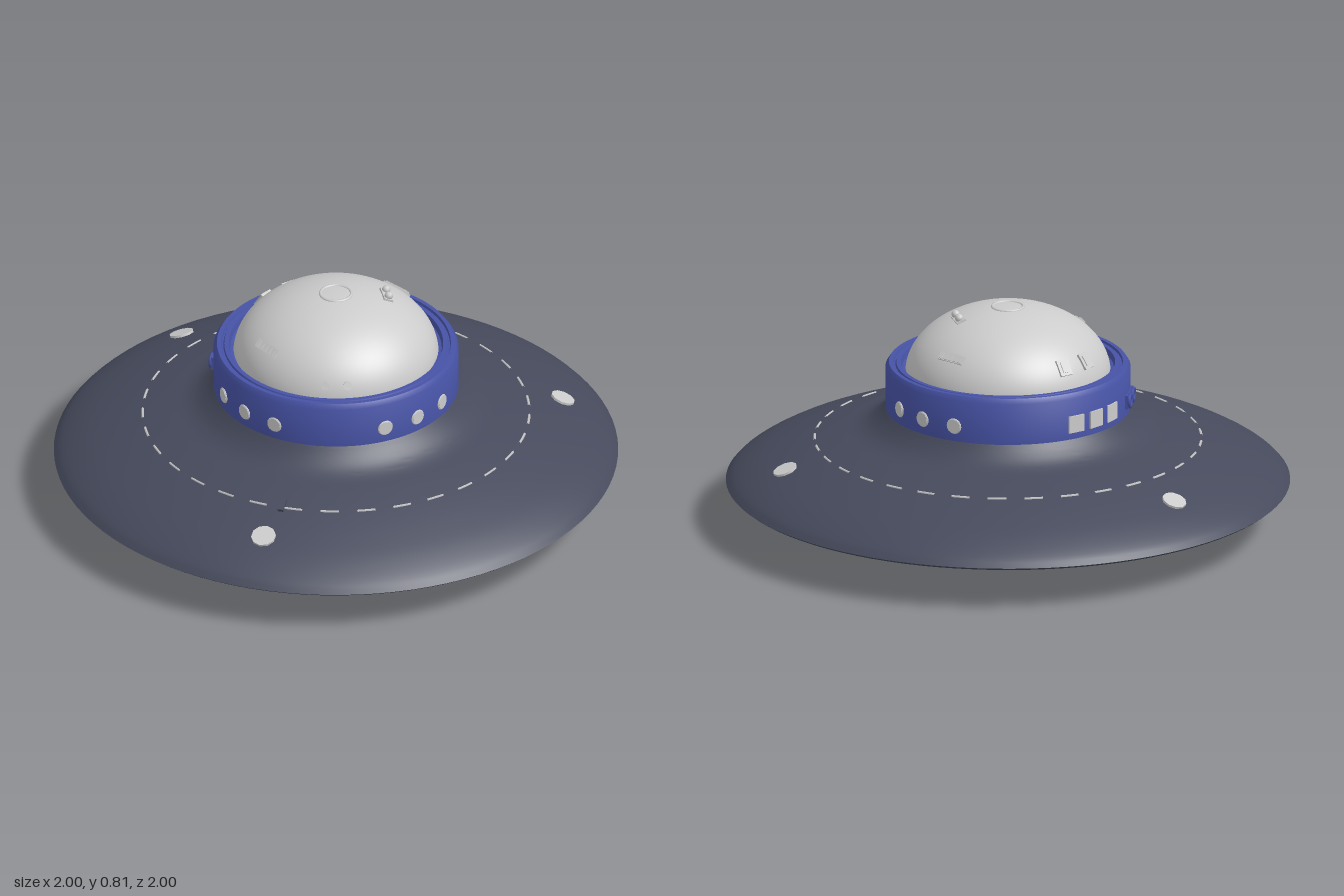
import * as THREE from 'three';
import { toCreasedNormals } from 'three/addons/utils/BufferGeometryUtils.js';

const D = Math.PI / 180;
const mat = (color) => new THREE.MeshStandardMaterial({ color, side: THREE.DoubleSide });

export function createModel() {
  const root = new THREE.Group();
  const grey = mat(0xcccccc), navy = mat(0x464a5c), blue = mat(0x4753a6);

  const add = (name, geo, material, parent = root) => {
    const m = new THREE.Mesh(geo, material);
    m.name = name;
    parent.add(m);
    return m;
  };
  const lathe = (name, pts, material, crease = 35) => {
    const g = new THREE.LatheGeometry(pts.map((p) => new THREE.Vector2(p[0], p[1])), 96);
    return add(name, toCreasedNormals(g, crease * D), material);
  };
  // Frame whose +z points out of the craft: azimuth from the front, radius, height, upward tilt (degrees)
  const mount = (name, az, r, y, tilt) => {
    const pivot = new THREE.Group(), g = new THREE.Group();
    pivot.name = name;
    pivot.rotation.y = az * D;
    g.position.set(0, y, r);
    g.rotation.x = -tilt * D;
    pivot.add(g);
    root.add(pivot);
    return g;
  };
  // Points of an ellipse centred on the axis, between two angles
  const ellipse = (a, b, cy, from, to, n) => Array.from({ length: n + 1 }, (_, i) => {
    const t = (from + (to - from) * i / n) * D;
    return [Math.max(0, a * Math.cos(t)), cy + b * Math.sin(t)];
  });
  const disc = (r, h, n = 16) => new THREE.CylinderGeometry(r, r, h, n).rotateX(Math.PI / 2);

  // Saucer hull, including the underside rim and its groove
  const slope = new THREE.CatmullRomCurve3([
    [1, 0.162], [0.975, 0.188], [0.9, 0.234], [0.8, 0.277], [0.7, 0.312], [0.6, 0.341],
    [0.53, 0.36], [0.49, 0.38], [0.455, 0.41], [0.432, 0.437],
  ].map((p) => new THREE.Vector3(p[0], p[1], 0))).getPoints(40).map((p) => [p.x, p.y]);
  lathe('hull', [[0.79, 0.178], [0.805, 0.168], [0.815, 0.19], [0.87, 0.19], [0.88, 0.16],
    [0.91, 0.156], [0.99, 0.154], ...slope, [0.39, 0.437]], navy);

  // Collar with a bevelled, grooved top
  lathe('collar', [[0.4, 0.43], [0.434, 0.43], [0.434, 0.585], [0.422, 0.603], [0.407, 0.603],
    [0.404, 0.594], [0.399, 0.594], [0.396, 0.601], [0.38, 0.601], [0.375, 0.58], [0.35, 0.575]], blue);

  // Cabin dome and its top ring
  lathe('cabinDome', ellipse(0.364, 0.25, 0.56, 3, 90, 32), grey);
  const topRing = add('domeTopRing', new THREE.TorusGeometry(0.055, 0.006, 8, 32).rotateX(Math.PI / 2), grey);
  topRing.position.y = 0.806;

  // Portholes: three on the front and on both sides
  for (const side of [0, 90, 270]) for (const step of [-18, 0, 18]) {
    const g = mount('porthole', side + step, 0.434, 0.49, 0);
    add('portholeFrame', new THREE.TorusGeometry(0.025, 0.004, 6, 16), grey, g);
    add('portholeGlass', disc(0.025, 0.01), grey, g);
  }
  // Square rear windows
  for (const step of [-12, 0, 12]) {
    add('rearWindow', new THREE.BoxGeometry(0.062, 0.062, 0.012), grey, mount('rearWindowMount', 180 + step, 0.433, 0.49, 0));
  }
  // Valve block beside the rear windows
  const valves = mount('valveBlock', 215, 0.434, 0.49, 0);
  add('valvePlate', new THREE.BoxGeometry(0.12, 0.05, 0.014), blue, valves);
  for (const x of [-0.035, 0.035]) {
    add('valveRing', new THREE.TorusGeometry(0.022, 0.007, 6, 16), blue, valves).position.set(x, 0, 0.01);
  }

  // Dome fittings, placed by azimuth and ellipse angle
  const onDome = (name, az, t) => mount(name, az, 0.364 * Math.cos(t * D), 0.56 + 0.25 * Math.sin(t * D),
    Math.atan2(Math.sin(t * D) / 0.25, Math.cos(t * D) / 0.364) / D);
  for (const az of [94, 266]) {
    const vent = onDome('ventMount', az, 32);
    add('ventPlate', new THREE.BoxGeometry(0.11, 0.032, 0.008), grey, vent);
    for (let i = -2; i <= 2; i++) {
      add('ventSlat', new THREE.BoxGeometry(0.013, 0.026, 0.018), grey, vent).position.x = i * 0.021;
    }
  }
  for (const az of [171, 190]) {
    const hatch = onDome('hatchMount', az, 25);
    add('hatch', new THREE.BoxGeometry(0.05, 0.06, 0.012), grey, hatch);
    add('hatchInset', new THREE.BoxGeometry(0.025, 0.04, 0.018), grey, hatch);
  }
  for (const az of [-48, -35]) {
    const bolt = onDome('boltMount', az, 17);
    add('bolt', disc(0.016, 0.016, 10), grey, bolt);
  }
  const sensor = onDome('sensorMount', 60, 60);
  add('sensorBase', new THREE.BoxGeometry(0.08, 0.035, 0.012), grey, sensor);
  for (const x of [-0.022, 0.022]) add('sensorKnob', new THREE.SphereGeometry(0.015, 12, 8), grey, sensor).position.set(x, 0, 0.012);

  // Hull lamps and the ring of dashes
  for (const az of [60, 180, 300]) {
    add('hullLamp', disc(0.044, 0.014, 10), grey, mount('hullLampMount', az, 0.82, 0.27, 68));
  }
  for (let i = 0; i < 33; i++) {
    const dash = add('hullDash', new THREE.TorusGeometry(0.685, 0.005, 4, 4, 5.5 * D).rotateX(Math.PI / 2), grey);
    dash.position.y = 0.317;
    dash.rotation.y = (-90 + 2.75 + i * 360 / 33) * D;
  }
  add('hullClip', new THREE.BoxGeometry(0.02, 0.05, 0.014), navy, mount('hullClipMount', -58, 0.68, 0.322, 72));

  // Belly plate
  lathe('belly', [[0.28, 0.182], [0.8, 0.182]], grey);

  // Lower dome with its nozzle
  lathe('lowerDome', [[0, 0.03], [0.025, 0.025], [0.04, 0.006], [0.055, 0], [0.07, 0.003],
    ...ellipse(0.325, 0.18, 0.18, -77, 0, 28)], grey);
  for (let i = 0; i < 16; i++) {
    const dash = add('lowerDomeDash', new THREE.TorusGeometry(0.313, 0.004, 4, 4, 9 * D).rotateX(Math.PI / 2), grey);
    dash.position.y = 0.133;
    dash.rotation.y = i * 22.5 * D;
  }

  // Three landing pods
  for (const az of [60, 180, 300]) {
    const pod = mount('landingPod', az, 0.57, 0.2, 0);
    add('podShell', new THREE.SphereGeometry(0.135, 32, 12, 0, Math.PI * 2, Math.PI / 2, Math.PI / 2), blue, pod);
    for (const x of [-0.028, 0.028]) {
      const port = add('podPort', new THREE.TorusGeometry(0.016, 0.005, 6, 14), blue, pod);
      port.position.set(x, -0.06, 0.117);
      port.rotation.x = 27 * D;
    }
  }

  // Belly armour: raised wedge panels between the pods, with small fittings
  const wedge = (r0, r1, half) => {
    const s = new THREE.Shape();
    const at = (r, a) => [r * Math.sin(a * D), r * Math.cos(a * D)];
    s.moveTo(...at(r0, -half));
    s.lineTo(...at(r1 - 0.06, -half));
    s.lineTo(...at(r1, -half * 0.65));
    s.lineTo(...at(r1, half * 0.65));
    s.lineTo(...at(r1 - 0.06, half));
    s.lineTo(...at(r0, half));
    s.closePath();
    return new THREE.ExtrudeGeometry(s, { depth: 0.006, bevelSize: 0.012, bevelThickness: 0.007, bevelSegments: 1 })
      .rotateX(Math.PI / 2);
  };
  for (const az of [0, 120, 240]) {
    [[-20, 0.44, 0.75, 13], [12, 0.4, 0.76, 12], [38, 0.6, 0.76, 9]].forEach(([off, r0, r1, half]) => {
      const p = add('bellyPanel', wedge(r0, r1, half), grey);
      p.position.y = 0.18;
      p.rotation.y = (az + off) * D;
    });
    [[-38, 0.4, 0.022], [-4, 0.6, 0.02], [-4, 0.68, 0.014], [30, 0.43, 0.018], [-37, 0.72, 0.02]].forEach(([off, r, s]) => {
      const knob = add('bellyKnob', new THREE.SphereGeometry(s, 12, 8), grey);
      knob.position.set(r * Math.sin((az + off) * D), 0.178, r * Math.cos((az + off) * D));
    });
  }

  // Studs under the rim
  for (let i = 0; i < 36; i++) {
    add('rimStud', new THREE.BoxGeometry(0.035, 0.008, 0.018), grey, mount('rimStudMount', i * 10, 0.945, 0.154, 0));
  }
  return root;
}
